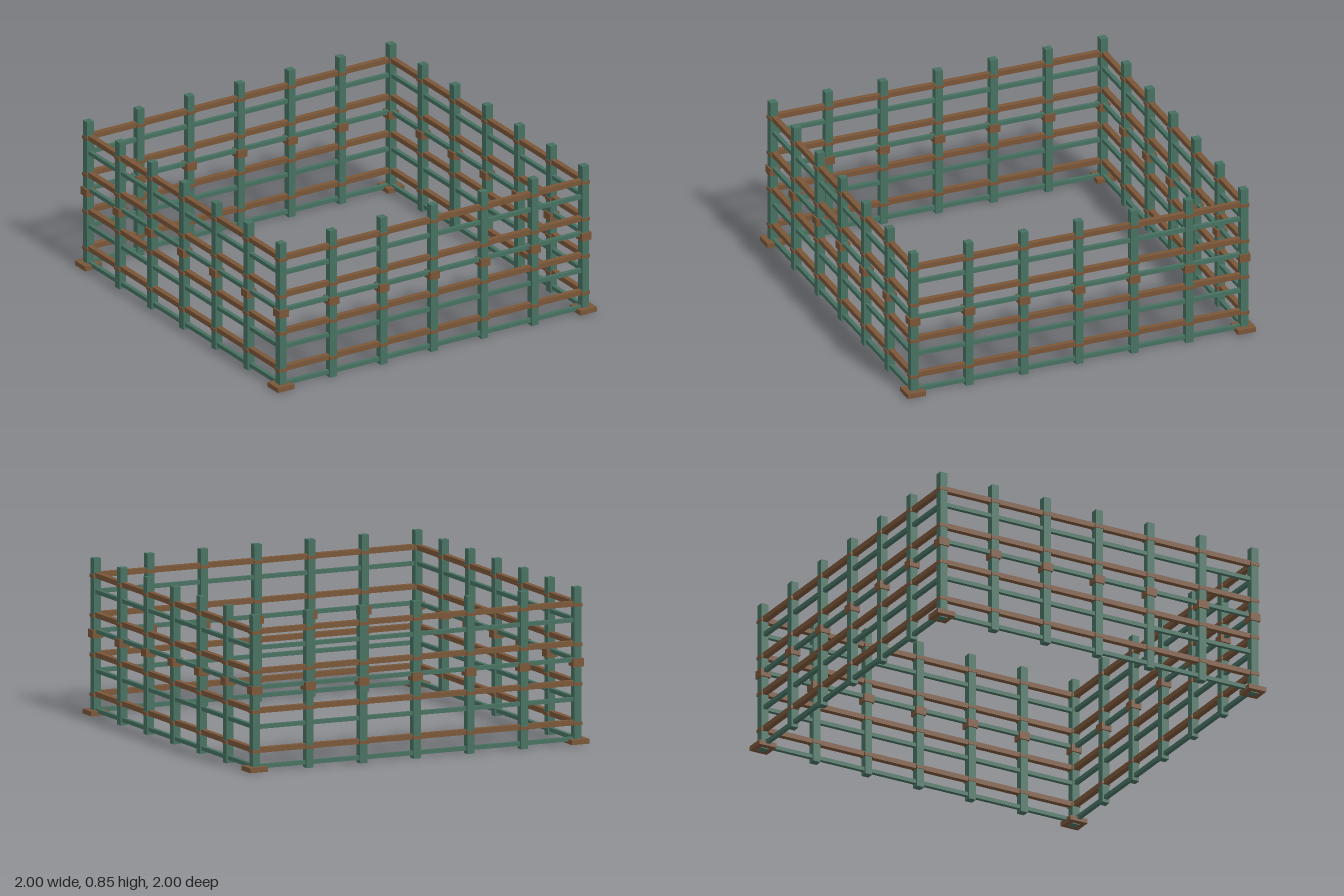
import * as THREE from 'three';

const HALF = 0.948;   // distance from centre to each fence line
const BAYS = 6;       // bays per side
const POST = 0.042;
const HEIGHT = 0.845;

const green = new THREE.MeshStandardMaterial({ color: 0x467060 });
green.name = 'paintedGreen';
const brown = new THREE.MeshStandardMaterial({ color: 0x7a5638 });
brown.name = 'rustBrown';

function box(parent, name, material, size, position) {
  const mesh = new THREE.Mesh(new THREE.BoxGeometry(...size), material);
  mesh.name = name;
  mesh.position.set(...position);
  parent.add(mesh);
}

// Upright with a rail clip under each brown rail and a wide collar midway
function createPost(x, isCorner) {
  const post = new THREE.Group();
  post.name = isCorner ? 'cornerPost' : 'post';
  post.position.x = x;
  box(post, 'upright', green, [POST, HEIGHT, POST], [0, HEIGHT / 2, 0]);
  box(post, 'collar', brown, [0.06, 0.044, 0.06], [0, 0.44, 0]);
  for (let i = 0; i < 4; i++) {
    box(post, 'railClip', brown, [0.05, 0.018, 0.05], [0, 0.112 + i * 0.2125, 0]);
  }
  if (isCorner) box(post, 'footPlate', brown, [0.104, 0.026, 0.104], [0, 0.018, 0]);
  return post;
}

// One side: six posts (the last corner belongs to the next side) and eight rails
function createSide() {
  const side = new THREE.Group();
  side.name = 'fenceSide';
  for (let i = 0; i < BAYS; i++) {
    side.add(createPost(-HALF + (i * 2 * HALF) / BAYS, i === 0));
  }
  for (let i = 0; i < 4; i++) {
    box(side, 'greenRail', green, [2 * HALF, 0.022, 0.022], [0, 0.029 + i * 0.2125, 0]);
    box(side, 'brownRail', brown, [2 * HALF, 0.028, 0.03], [0, 0.117 + i * 0.2125, 0]);
  }
  return side;
}

export function createModel() {
  const model = new THREE.Group();
  model.name = 'fencedPen';
  for (let i = 0; i < 4; i++) {
    const turn = new THREE.Group();
    turn.name = 'sideTurn';
    const side = createSide();
    side.position.z = HALF;
    turn.rotation.y = (i * Math.PI) / 2;
    turn.add(side);
    model.add(turn);
  }
  // Stand the pen on the ground
  const bottom = new THREE.Box3().setFromObject(model).min.y;
  model.children.forEach((child) => { child.position.y -= bottom; });
  return model;
}
